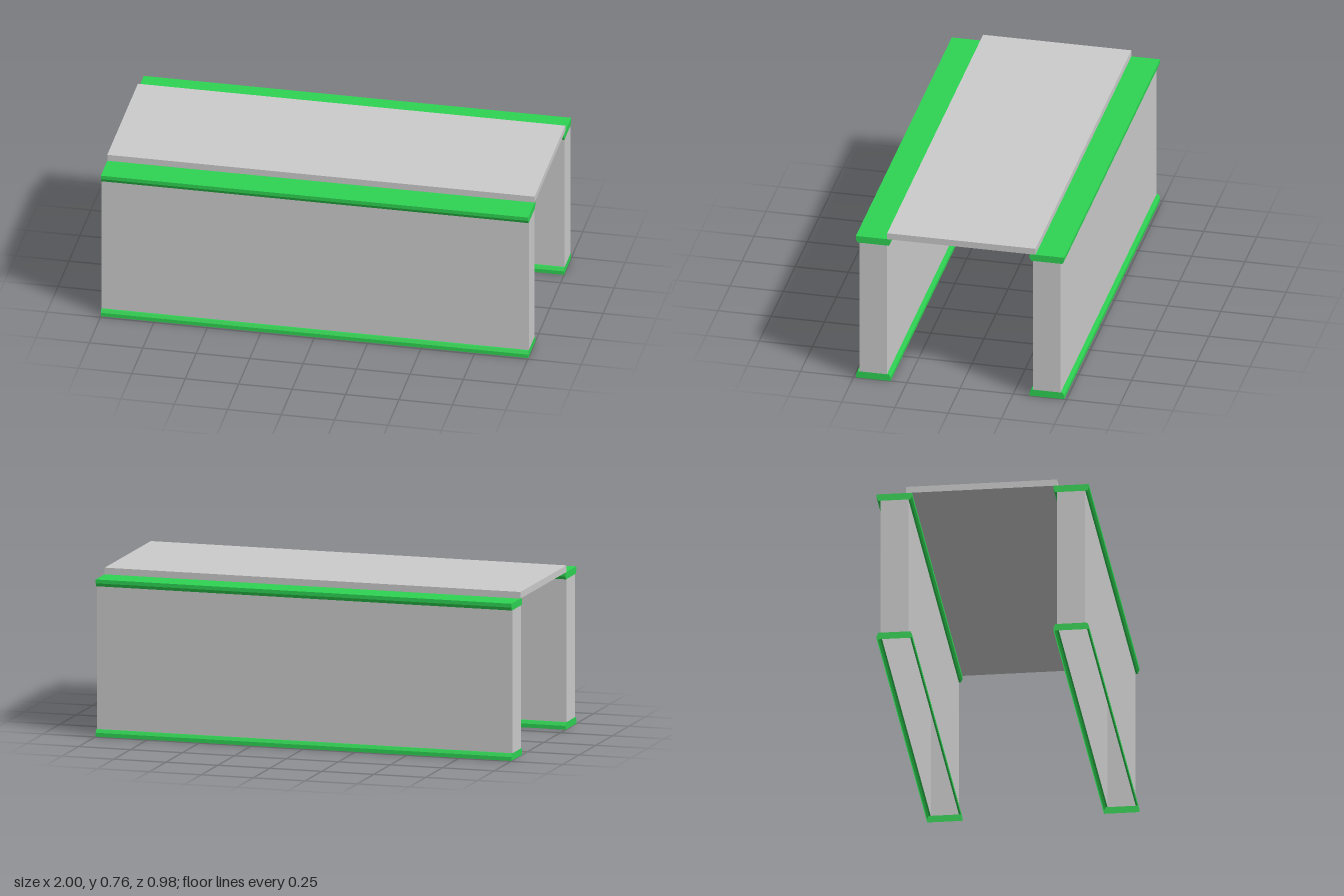
import * as THREE from 'three';

const LENGTH = 2;
const grey = new THREE.MeshStandardMaterial({ color: 0xcccccc, side: THREE.DoubleSide });
const green = new THREE.MeshStandardMaterial({ color: 0x2ed352, side: THREE.DoubleSide });

// Half widths of the trim: full edge, chamfered edge, wall
const EDGE = 0.0815, CHAMFER = 0.0735, WALL = 0.065;
const TRIM_H = 0.033, TOP_Y = 0.7, WALL_Z = 0.408;

// Trim profile (across, up) swept along the length
function trimGeometry() {
  const half = [[EDGE, 0], [EDGE, 0.018], [CHAMFER, TRIM_H], [WALL, TRIM_H]];
  const mirrored = half.map(([z, y]) => [-z, y]).reverse();
  const shape = new THREE.Shape([...half, ...mirrored].map(([z, y]) => new THREE.Vector2(z, y)));
  const geo = new THREE.ExtrudeGeometry(shape, { depth: LENGTH, bevelEnabled: false });
  geo.rotateY(-Math.PI / 2);
  geo.translate(LENGTH / 2, 0, 0);
  return geo;
}

// Remove the wide level faces, leaving a frame open above and below
function openFrame(source) {
  const p = source.attributes.position;
  const kept = [];
  for (let i = 0; i < p.count; i += 3) {
    const ys = [p.getY(i), p.getY(i + 1), p.getY(i + 2)];
    const zs = [p.getZ(i), p.getZ(i + 1), p.getZ(i + 2)];
    const level = Math.max(...ys) - Math.min(...ys) < 1e-5;
    if (level && Math.max(...zs) - Math.min(...zs) > 0.1) continue;
    for (let k = i; k < i + 3; k++) kept.push(p.getX(k), p.getY(k), p.getZ(k));
  }
  const geo = new THREE.BufferGeometry();
  geo.setAttribute('position', new THREE.Float32BufferAttribute(kept, 3));
  geo.computeVertexNormals();
  return geo;
}

// Box without its top and bottom faces
function hollowBox(w, h, d) {
  const geo = new THREE.BoxGeometry(w, h, d);
  const index = Array.from(geo.index.array);
  geo.setIndex([...index.slice(0, 12), ...index.slice(24)]);
  geo.clearGroups();
  return geo;
}

function addMesh(parent, name, geo, material, y, z) {
  const mesh = new THREE.Mesh(geo, material);
  mesh.name = name;
  mesh.position.set(0, y, z);
  parent.add(mesh);
  return mesh;
}

export function createModel() {
  const model = new THREE.Group();
  model.name = 'coveredPassage';

  const solidTrim = trimGeometry();
  const baseTrim = openFrame(solidTrim);
  const wallH = TOP_Y - TRIM_H;
  const wall = hollowBox(LENGTH, wallH, WALL * 2);

  // Front and back walls, each with a base frame and a capping
  for (const [name, side] of [['front', 1], ['back', -1]]) {
    const z = side * WALL_Z;
    addMesh(model, name + 'Wall', wall, grey, TRIM_H + wallH / 2, z);
    addMesh(model, name + 'BaseTrim', baseTrim, green, 0, z);
    const cap = addMesh(model, name + 'Capping', solidTrim, green, TOP_Y + TRIM_H, z);
    cap.rotation.x = Math.PI; // wide edge up
  }

  // Roof slab resting on the cappings
  const slab = new THREE.BoxGeometry(LENGTH, 0.031, 0.697);
  addMesh(model, 'roofSlab', slab, grey, TOP_Y + TRIM_H + 0.0155, -0.006);

  return model;
}
